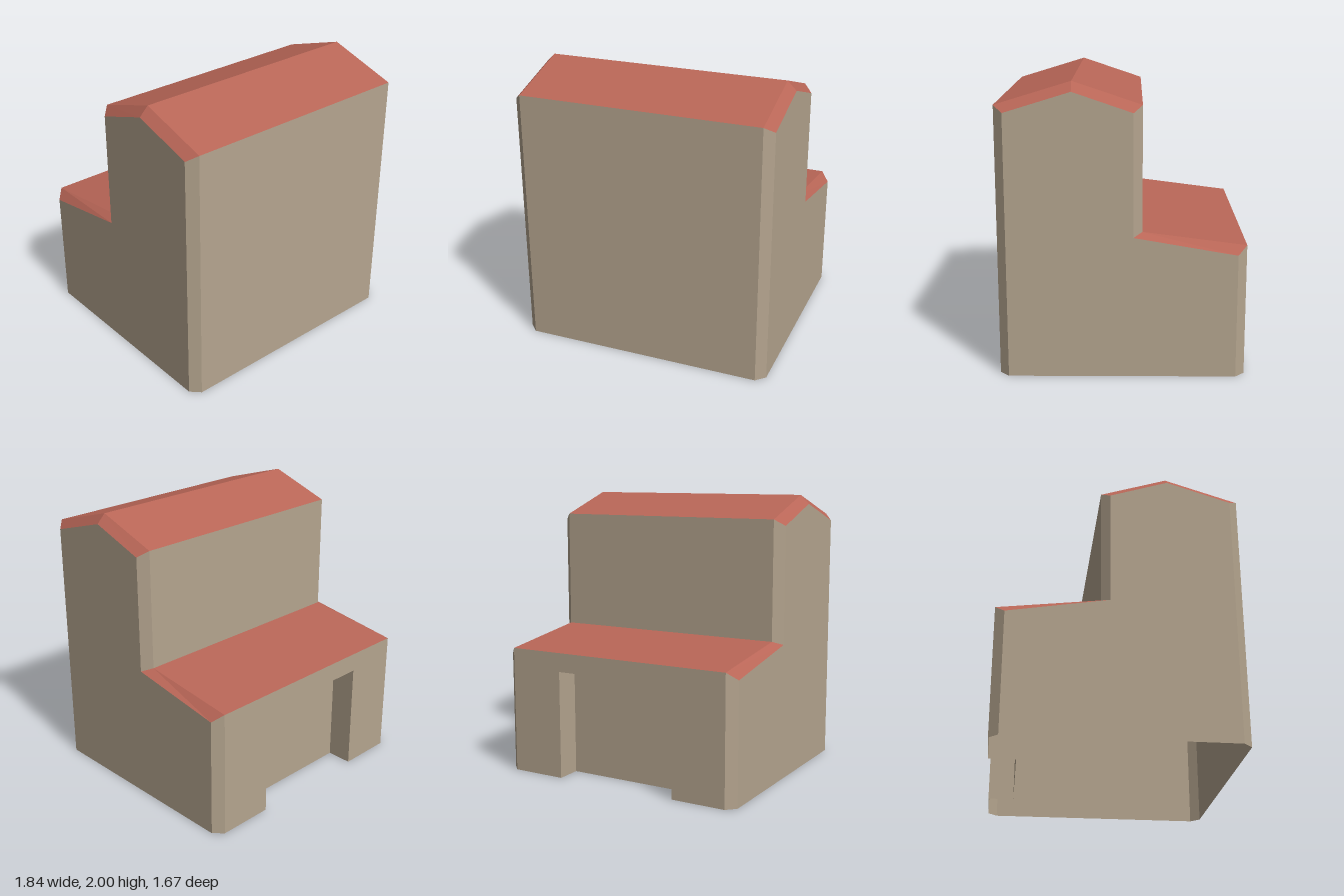
import * as THREE from 'three';

const X = 0.857, W = 0.92;              // half width of the main faces, and of the gable ends
const DOOR = 0.457, HEAD = 0.775;       // doorway half width and height
const BACK = -0.833, RECESS = -0.65;    // back wall and recessed panel depth

// Side section as [z, y], from the front foot over the roof to the back foot
const outer = [[0.833, 0], [0.833, 1.845], [0.325, 2], [-0.135, 1.845], [-0.135, 1], [BACK, 0.91], [BACK, 0]];
const inner = [[0.77, 0], [0.77, 1.8], [0.325, 1.937], [-0.075, 1.8], [-0.075, 0.975], [-0.77, 0.855], [-0.77, 0]];

// Flat quads, corners counter-clockwise seen from outside
function quads(list) {
  const pos = [];
  for (const [a, b, c, d] of list) pos.push(...a, ...b, ...c, ...a, ...c, ...d);
  const g = new THREE.BufferGeometry();
  g.setAttribute('position', new THREE.Float32BufferAttribute(pos, 3));
  g.computeVertexNormals();
  return g;
}

const flat = (points) => new THREE.ShapeGeometry(new THREE.Shape(points.map(([x, y]) => new THREE.Vector2(x, y))));

export function createModel() {
  const group = new THREE.Group();
  group.name = 'house';
  const wall = new THREE.MeshStandardMaterial({ color: 0xb5a58f, side: THREE.DoubleSide, flatShading: true });
  wall.name = 'stone wall';
  const roof = new THREE.MeshStandardMaterial({ color: 0xb96657, side: THREE.DoubleSide, flatShading: true });
  roof.name = 'red roof';

  const add = (name, geometry, material) => {
    const mesh = new THREE.Mesh(geometry, material);
    mesh.name = name;
    group.add(mesh);
  };

  // Each section segment makes one wide face and a chamfer at either end
  const names = ['frontWall', 'frontRoof', 'rearRoof', 'upperRearWall', 'leanToRoof', 'backCorners'];
  names.forEach((name, i) => {
    const [p0, p1, q0, q1] = [outer[i], outer[i + 1], inner[i], inner[i + 1]];
    const at = (x, [z, y]) => [x, y, z];
    const faces = [
      [at(X, p0), at(W, q0), at(W, q1), at(X, p1)],
      [at(-W, q0), at(-X, p0), at(-X, p1), at(-W, q1)],
    ];
    if (name !== 'backCorners') faces.push([at(-X, p0), at(X, p0), at(X, p1), at(-X, p1)]);
    add(name, quads(faces), name.endsWith('Roof') ? roof : wall);
  });

  // Gable end walls
  for (const side of [1, -1]) {
    const g = flat(inner.map(([z, y]) => [-side * z, y]));
    g.rotateY(side * Math.PI / 2).translate(side * W, 0, 0);
    add(side > 0 ? 'leftGable' : 'rightGable', g, wall);
  }

  // Back wall cut around the doorway
  const back = flat([[-X, 0], [-DOOR, 0], [-DOOR, HEAD], [DOOR, HEAD], [DOOR, 0], [X, 0], [X, 0.91], [-X, 0.91]]);
  add('backWall', back.rotateY(Math.PI).translate(0, 0, BACK), wall);

  // Doorway jambs, head and recessed panel
  const D = DOOR, H = HEAD, B = BACK, R = RECESS;
  add('doorRecess', quads([
    [[D, 0, R], [D, 0, B], [D, H, B], [D, H, R]],
    [[-D, 0, B], [-D, 0, R], [-D, H, R], [-D, H, B]],
    [[-D, H, B], [D, H, B], [D, H, R], [-D, H, R]],
    [[D, 0, R], [-D, 0, R], [-D, H, R], [D, H, R]],
  ]), wall);

  return group;
}
